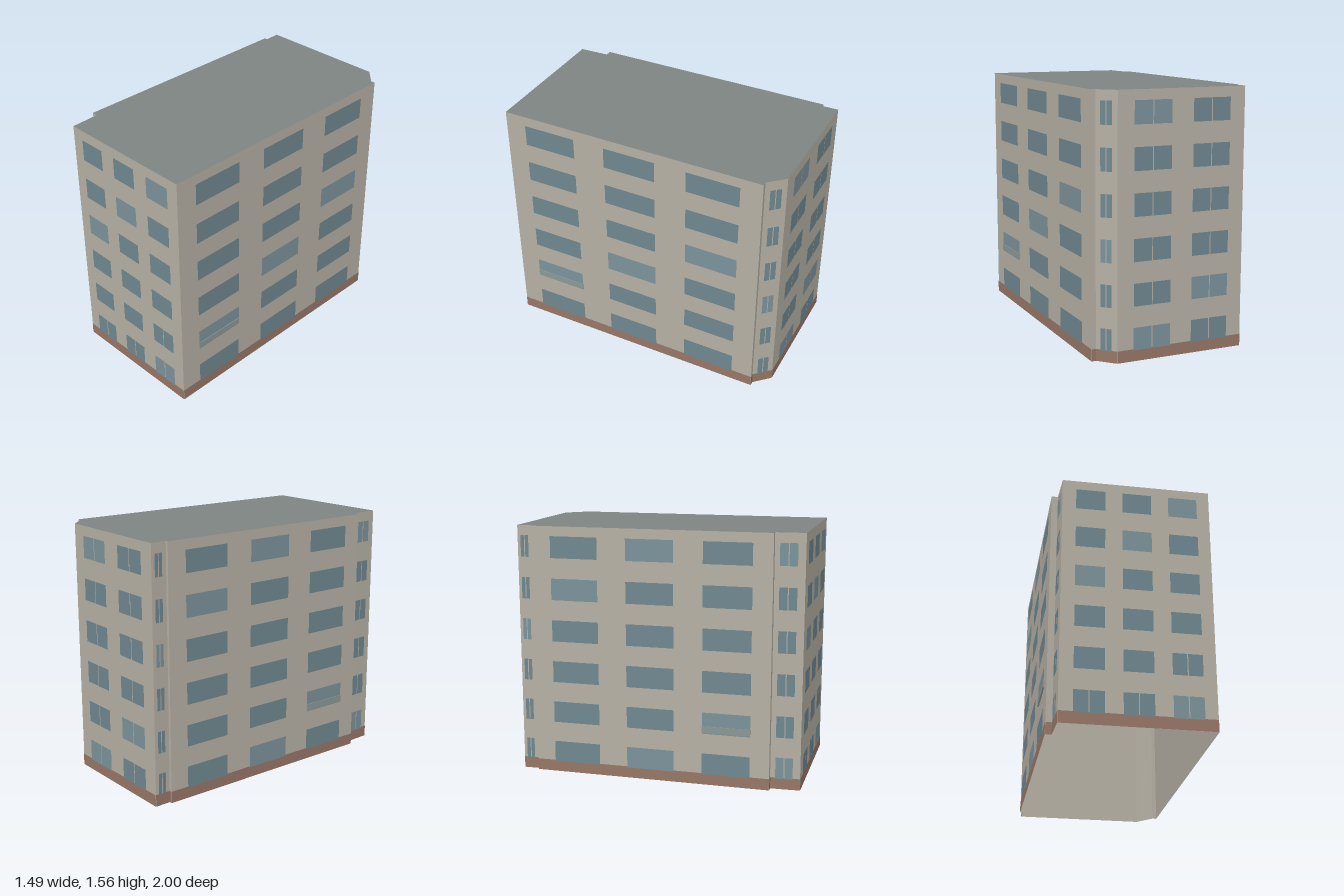
import * as THREE from 'three';

const HEIGHT = 1.56, PLINTH = 0.072;
const FLOORS = 6, SILL = 0.066, STOREY = 0.26, WINDOW_H = 0.134, MULLION = 0.006;

// Footprint corners (x, z), clockwise seen from above
const FOOTPRINT = [
  [-0.07, -1], [0.67, -0.675], [0.715, -0.55], [0.74, -0.54], [0.07, 1],
  [-0.745, 0.64], [-0.68, 0.47], [-0.715, 0.455], [-0.125, -0.915], [-0.108, -0.907],
];

// Window columns of each wall as fractions of its length, from its left end seen from outside
const LONG = [[0.08, 0.28], [0.4, 0.6], [0.72, 0.92]];
const always = () => true, never = () => false;
const WALLS = [
  { name: 'backWall', columns: [[0.125, 0.415], [0.585, 0.88]], split: always },
  { name: 'backLeftBay', columns: [[0.23, 0.75]], split: always },
  { name: 'leftStep', columns: [] },
  { name: 'leftWall', columns: LONG, split: never, balcony: 0 },
  { name: 'frontWall', columns: [[0.092, 0.288], [0.404, 0.6], [0.717, 0.914]], split: (f, c) => f === 0 || (f === 1 && c === 2) },
  { name: 'frontRightBay', columns: [[0.17, 0.75]], split: always },
  { name: 'rightStep', columns: [] },
  { name: 'rightWall', columns: LONG, split: never, balcony: 2 },
  { name: 'backRightStep', columns: [] },
  { name: 'backRightBay', columns: [[0.2, 0.7]], split: always },
];

const paint = (color, side = THREE.FrontSide) => new THREE.MeshStandardMaterial({ color, side });

export function createModel() {
  const model = new THREE.Group();
  model.name = 'apartmentBlock';
  const wallMat = paint(0xb5b0a4, THREE.DoubleSide);
  const plinthMat = paint(0x977666);
  const glassMat = paint(0x6f8790);
  const paleGlassMat = paint(0x7b929a);
  const railMat = paint(0x8a9896);
  const roofMat = paint(0x7d8481, THREE.DoubleSide);

  // Upright rectangle in a wall's own plane, from x0..x1 and y0..y1
  function panel(parent, name, x0, x1, y0, y1, z, material) {
    const mesh = new THREE.Mesh(new THREE.PlaneGeometry(x1 - x0, y1 - y0), material);
    mesh.position.set((x0 + x1) / 2, (y0 + y1) / 2, z);
    mesh.name = name;
    parent.add(mesh);
  }

  WALLS.forEach((spec, i) => {
    const [px, pz] = FOOTPRINT[i];
    const [qx, qz] = FOOTPRINT[(i + 1) % FOOTPRINT.length];
    const length = Math.hypot(qx - px, qz - pz);

    // Local x runs along the wall, local z points outward
    const wall = new THREE.Group();
    wall.name = spec.name;
    wall.position.set(qx, 0, qz);
    wall.rotation.y = Math.atan2(qz - pz, px - qx);
    model.add(wall);

    panel(wall, 'wallSurface', 0, length, 0, HEIGHT, 0, wallMat);
    panel(wall, 'plinth', 0, length, 0, PLINTH, 0.002, plinthMat);

    // Window grid, some with a narrow gap between two panes
    spec.columns.forEach(([a, b], c) => {
      const x0 = a * length, x1 = b * length, mid = (x0 + x1) / 2;
      for (let f = 0; f < FLOORS; f++) {
        const y0 = SILL + f * STOREY, y1 = y0 + WINDOW_H;
        const glass = (f * 2 + c * 3 + i) % 5 === 0 ? paleGlassMat : glassMat;
        if (spec.split(f, c)) {
          panel(wall, 'windowPane', x0, mid - MULLION / 2, y0, y1, 0.004, glass);
          panel(wall, 'windowPane', mid + MULLION / 2, x1, y0, y1, 0.004, glass);
        } else {
          panel(wall, 'window', x0, x1, y0, y1, 0.004, glass);
        }
      }
      // Shallow balcony rail across the lower part of one first-floor window
      if (c === spec.balcony) {
        const rail = new THREE.Mesh(new THREE.BoxGeometry(x1 - x0, 0.042, 0.008), railMat);
        rail.position.set(mid, 0.353, 0.004);
        rail.name = 'balconyRail';
        wall.add(rail);
      }
    });
  });

  // Flat roof following the footprint
  const outline = new THREE.Shape(FOOTPRINT.map(([x, z]) => new THREE.Vector2(x, -z)));
  const roof = new THREE.Mesh(new THREE.ShapeGeometry(outline).rotateX(-Math.PI / 2), roofMat);
  roof.position.y = HEIGHT;
  roof.name = 'roof';
  model.add(roof);

  return model;
}
